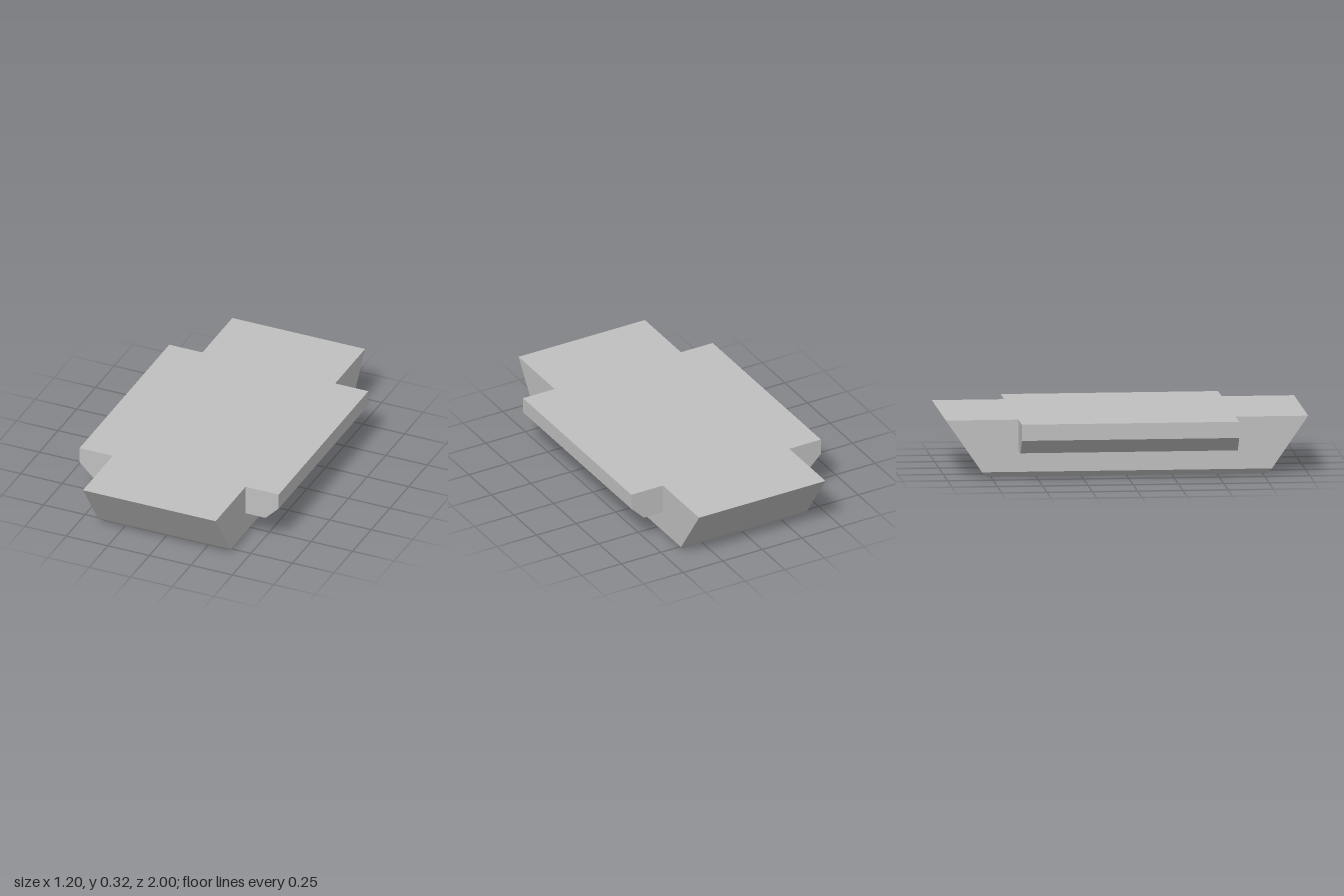
import * as THREE from 'three';

// Stacks rectangular rings [halfWidth, y, halfDepth] from the deck down to the recess ceiling
function ringedBox(rings) {
  const corners = rings.map(([w, y, d]) => [[w, y, d], [w, y, -d], [-w, y, -d], [-w, y, d]]);
  const pos = [];
  const quad = (a, b, c, d) => [a, b, c, a, c, d].forEach((p) => pos.push(...p));
  quad(...corners[0]);
  for (let i = 0; i < corners.length - 1; i++) {
    for (let k = 0; k < 4; k++) {
      const n = (k + 1) % 4;
      quad(corners[i][k], corners[i + 1][k], corners[i + 1][n], corners[i][n]);
    }
  }
  quad(...corners[corners.length - 1].slice().reverse());
  const geo = new THREE.BufferGeometry();
  geo.setAttribute('position', new THREE.Float32BufferAttribute(pos, 3));
  geo.computeVertexNormals();
  return geo;
}

export function createModel() {
  const group = new THREE.Group();
  const grey = new THREE.MeshStandardMaterial({ color: 0xc0c0c0, flatShading: true });
  grey.name = 'lightGrey';
  const add = (name, geo) => {
    const mesh = new THREE.Mesh(geo, grey);
    mesh.name = name;
    group.add(mesh);
    return mesh;
  };

  // Hull: sloped ends, chamfered foot, hollow underside
  add('hull', ringedBox([
    [0.4, 0.32, 1], [0.4, 0.03, 0.8], [0.37, 0, 0.77],
    [0.33, 0, 0.73], [0.33, 0.2, 0.73],
  ]));

  // Side sponsons with a chamfered lower edge
  for (const s of [1, -1]) {
    const shape = new THREE.Shape(
      [[0.4, 0.15], [0.52, 0.15], [0.6, 0.23], [0.6, 0.32], [0.4, 0.32]]
        .map(([x, y]) => new THREE.Vector2(s * x, y)));
    const geo = new THREE.ExtrudeGeometry(shape, { depth: 1.2, bevelEnabled: false });
    add(s > 0 ? 'leftSponson' : 'rightSponson', geo.translate(0, 0, -0.6));
  }

  // Five lengthwise bars inside the recess
  for (let i = -2; i <= 2; i++) {
    const geo = new THREE.CylinderGeometry(0.04, 0.04, 1.46, 8, 1, true);
    geo.rotateY(Math.PI / 8).rotateX(Math.PI / 2);
    add('recessBar', geo).position.set(i * 0.1, 0.14, 0);
  }
  return group;
}
